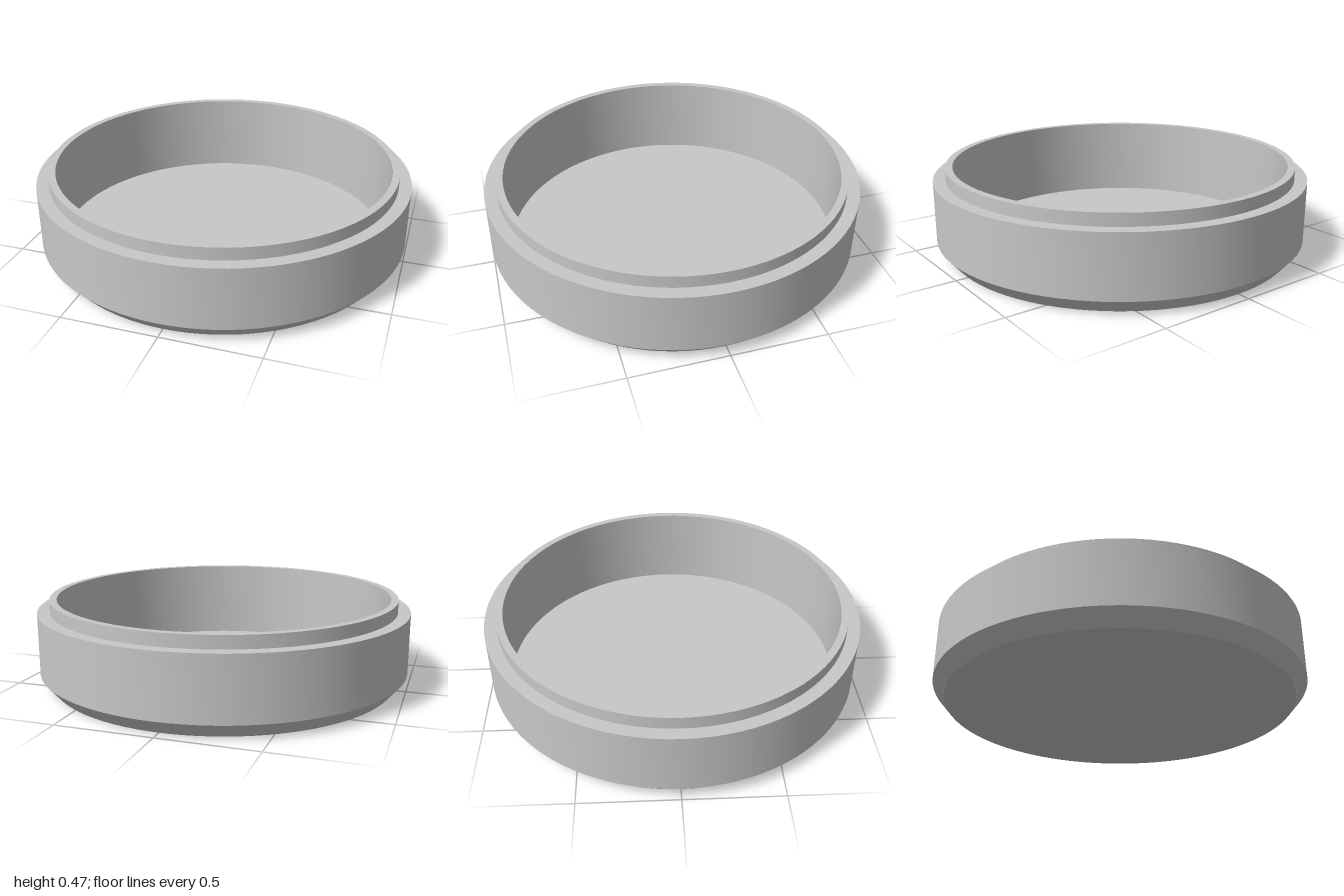
import * as THREE from 'three';
import { toCreasedNormals } from 'three/addons/utils/BufferGeometryUtils.js';

export function createModel() {
  const model = new THREE.Group();
  const grey = new THREE.MeshStandardMaterial({ color: 0xc8c8c8 });
  grey.name = 'plain grey';

  // Turn a profile of [radius, height] points, running up the outside
  const turned = (name, profile) => {
    const points = profile.map(([r, y]) => new THREE.Vector2(r, y));
    const geometry = toCreasedNormals(new THREE.LatheGeometry(points, 96), 0.5);
    const mesh = new THREE.Mesh(geometry, grey);
    mesh.name = name;
    model.add(mesh);
  };

  // Flat underside, chamfered foot, straight wall and ledge
  turned('outerShell', [[0, 0], [0.935, 0], [1, 0.076], [1, 0.4], [0.934, 0.4]]);
  // Raised lip that seats a lid
  turned('lip', [[0.934, 0.4], [0.934, 0.465], [0.896, 0.465]]);
  // Hollow inside with a flat floor
  turned('innerBowl', [[0.896, 0.465], [0.896, 0.026], [0, 0.026]]);

  return model;
}
